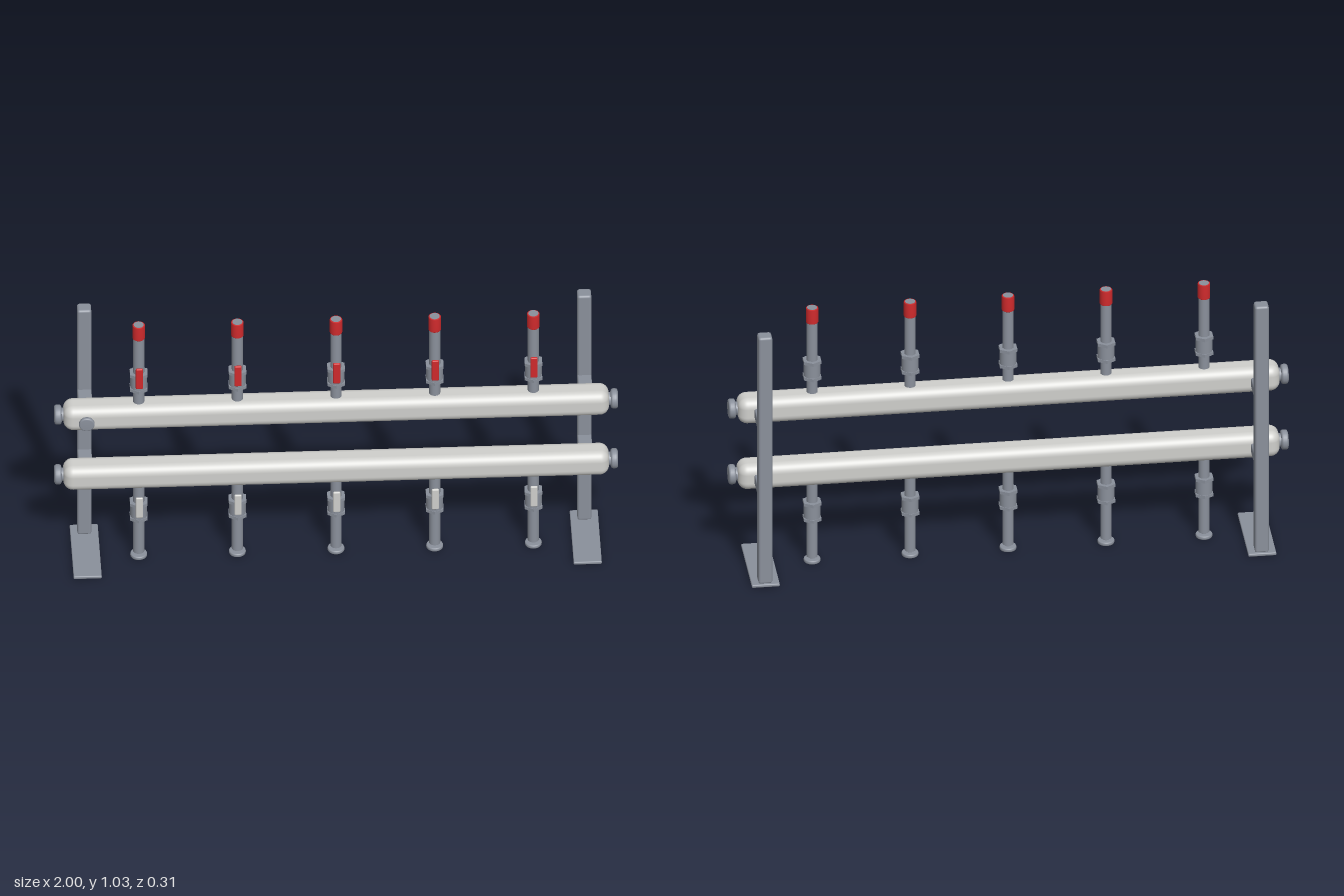
import * as THREE from 'three';
import { RoundedBoxGeometry } from 'three/addons/geometries/RoundedBoxGeometry.js';

export function createModel() {
  const mat = (name, color) => {
    const m = new THREE.MeshStandardMaterial({ color });
    m.name = name;
    return m;
  };
  const steel = mat('steel', 0x8a909b);
  const paleMetal = mat('pale metal', 0xcfcfcc);
  const red = mat('red', 0xcf2a2c);

  const model = new THREE.Group();
  model.name = 'pipeManifold';
  const AXIS_Z = 0.021; // depth of the header and valve centre line

  const add = (parent, name, geometry, material, x, y, z) => {
    const mesh = new THREE.Mesh(geometry, material);
    mesh.name = name;
    mesh.position.set(x, y, z);
    parent.add(mesh);
    return mesh;
  };
  const block = (w, h, d, r) => new RoundedBoxGeometry(w, h, d, 3, r);
  const rod = (r, h, sides = 24) => new THREE.CylinderGeometry(r, r, h, sides);

  // Disc with softened rims, axis along y
  const disc = (r, h, b) => {
    const p = [[0, -h / 2], [r - b, -h / 2], [r - b * 0.3, -h / 2 + b * 0.3], [r, -h / 2 + b],
      [r, h / 2 - b], [r - b * 0.3, h / 2 - b * 0.3], [r - b, h / 2], [0, h / 2]];
    return new THREE.LatheGeometry(p.map(([x, y]) => new THREE.Vector2(x, y)), 28);
  };

  // Upright posts with foot plates and header brackets
  for (const side of [-1, 1]) {
    const stand = new THREE.Group();
    stand.name = side > 0 ? 'leftStand' : 'rightStand';
    stand.position.x = side * 0.887;
    model.add(stand);
    add(stand, 'post', block(0.05, 1.0, 0.05, 0.009), steel, 0, 0.51, -0.119);
    add(stand, 'footPlate', block(0.1, 0.012, 0.306, 0.004), steel, 0, 0.008, 0);
    for (const y of [0.64, 0.373]) {
      add(stand, 'bracket', block(0.05, 0.038, 0.09, 0.006), steel, 0, y, -0.062);
    }
  }

  // Two header pipes with end caps
  for (const y of [0.64, 0.373]) {
    const header = new THREE.Group();
    header.name = y > 0.5 ? 'upperHeader' : 'lowerHeader';
    header.position.set(0, y, AXIS_Z);
    model.add(header);
    add(header, 'headerPipe', new RoundedBoxGeometry(1.936, 0.1, 0.1, 6, 0.034), paleMetal, 0, 0, 0);
    for (const side of [-1, 1]) {
      add(header, 'capNeck', rod(0.024, 0.03), steel, side * 0.97, 0, 0).rotation.z = Math.PI / 2;
      add(header, 'endCap', disc(0.036, 0.026, 0.008), steel, side * 0.987, 0, 0).rotation.z = Math.PI / 2;
    }
  }

  // Plugged port on the front of the upper header
  add(model, 'portNeck', rod(0.018, 0.02), steel, -0.887, 0.64, 0.071).rotation.x = Math.PI / 2;
  add(model, 'portPlug', disc(0.028, 0.016, 0.005), steel, -0.887, 0.64, 0.082).rotation.x = Math.PI / 2;

  // Valve: round body, two hexagonal collars, stem and lever
  const addValve = (parent, y, leverMaterial) => {
    const valve = new THREE.Group();
    valve.name = 'valve';
    valve.position.y = y;
    parent.add(valve);
    add(valve, 'valveBody', rod(0.03, 0.056), steel, 0, 0, 0);
    for (const s of [-1, 1]) {
      const collar = rod(0.036, 0.012, 6).toNonIndexed();
      collar.computeVertexNormals();
      add(valve, 'collar', collar, steel, 0, s * 0.0315, 0);
    }
    add(valve, 'stem', rod(0.009, 0.03, 16), steel, 0, 0, 0.04).rotation.x = Math.PI / 2;
    add(valve, 'lever', block(0.026, 0.089, 0.01, 0.0048), leverMaterial, 0, 0.046, 0.0525);
  };

  // Red sleeve around the open end of an upper pipe
  const sleeveProfile = [[0.02, 0], [0.021, 0], [0.0225, 0.002], [0.0225, 0.056], [0.021, 0.058], [0.017, 0.058]]
    .map(([x, y]) => new THREE.Vector2(x, y));

  for (let i = -2; i <= 2; i++) {
    // Upper branch
    const upper = new THREE.Group();
    upper.name = 'upperBranch';
    upper.position.set(i * 0.35, 0, AXIS_Z);
    model.add(upper);
    add(upper, 'branchPipe', rod(0.02, 0.359), steel, 0, 0.8495, 0);
    add(upper, 'pipeEnd', rod(0.018, 0.02), steel, 0, 1.021, 0);
    add(upper, 'sleeve', new THREE.LatheGeometry(sleeveProfile, 24), red, 0, 0.972, 0);
    addValve(upper, 0.783, red);

    // Lower branch
    const lower = new THREE.Group();
    lower.name = 'lowerBranch';
    lower.position.set(i * 0.35, 0, AXIS_Z);
    model.add(lower);
    add(lower, 'branchPipe', rod(0.02, 0.318), steel, 0, 0.181, 0);
    add(lower, 'discNeck', rod(0.01, 0.02, 16), steel, 0, 0.017, 0);
    add(lower, 'footDisc', disc(0.03, 0.014, 0.004), steel, 0, 0.007, 0);
    addValve(lower, 0.208, paleMetal);
  }
  return model;
}
